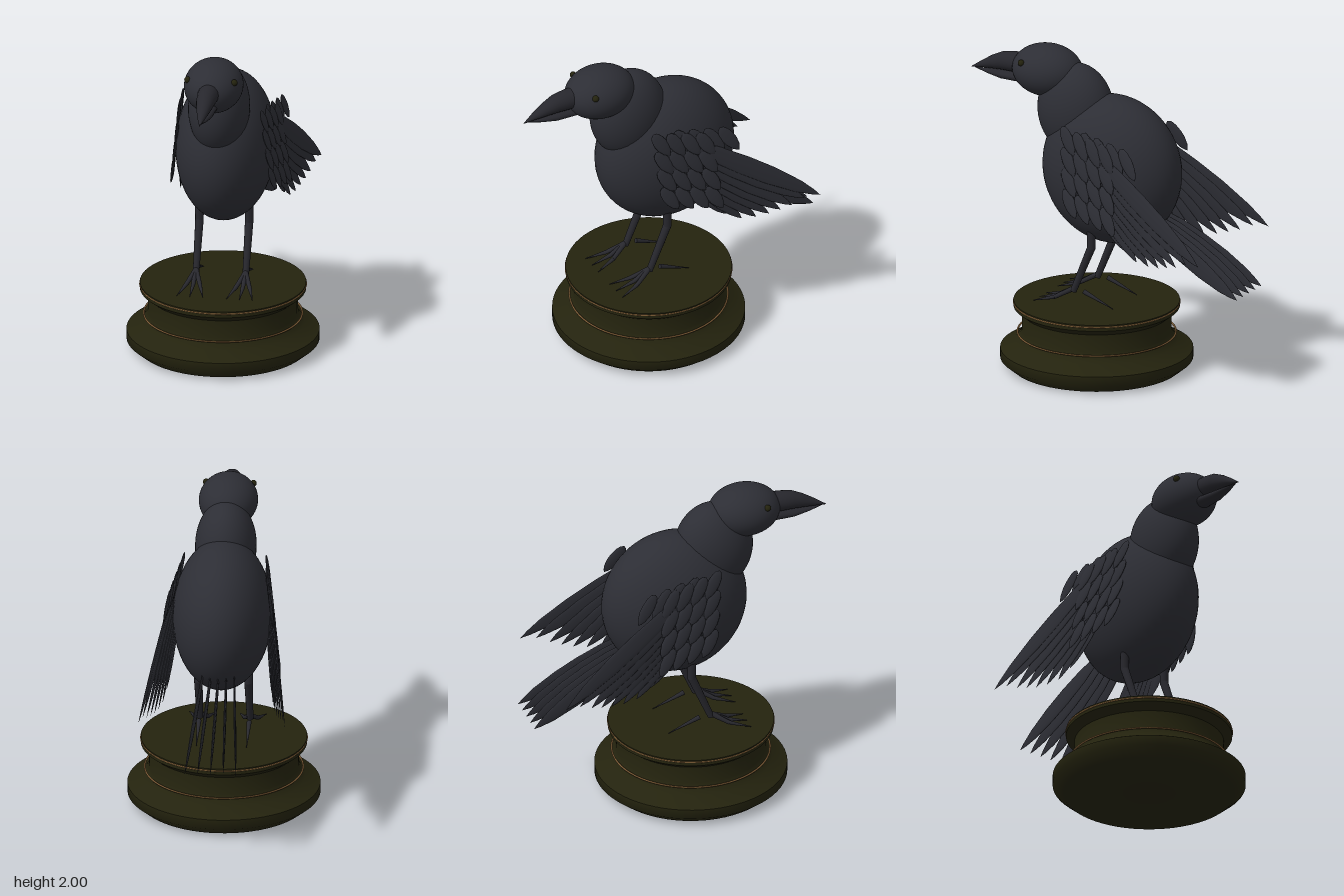
import * as THREE from 'three';
import { toCreasedNormals } from 'three/addons/utils/BufferGeometryUtils.js';

const mat = (name, color) => {
  const m = new THREE.MeshStandardMaterial({ color });
  m.name = name;
  return m;
};
const V = (x, y, z) => new THREE.Vector3(x, y, z);
const lerp = THREE.MathUtils.lerp;

export function createModel() {
  const plumage = mat('charcoal plumage', 0x2d2e35);
  const horn = mat('dark horn', 0x27272d);
  const olive = mat('dark olive', 0x24230e);
  const gold = mat('old gold', 0x7a5a34);

  const model = new THREE.Group();
  model.name = 'birdOnPedestal';
  const add = (name, geo, material, parent = model) => {
    const m = new THREE.Mesh(geo, material);
    m.name = name;
    parent.add(m);
    return m;
  };
  const group = (name) => {
    const g = new THREE.Group();
    g.name = name;
    model.add(g);
    return g;
  };
  const ellipsoid = (name, c, r, material = plumage) => {
    const m = add(name, new THREE.SphereGeometry(1, 48, 32), material);
    m.position.set(...c);
    m.scale.set(...r);
    return m;
  };

  // Pedestal: turned profile with two thin gold rings
  const profile = [[0, 0], [0.52, 0], [0.587, 0.055], [0.587, 0.116], [0.495, 0.165],
    [0.465, 0.205], [0.455, 0.23], [0.455, 0.342], [0.506, 0.382], [0.506, 0.42], [0, 0.42]];
  const base = add('pedestal', toCreasedNormals(new THREE.LatheGeometry(
    profile.map(([r, y]) => new THREE.Vector2(r, y)), 64), 0.9), olive);
  base.position.z = 0.1;
  for (const [r, y] of [[0.482, 0.215], [0.504, 0.407]]) {
    const ring = add('goldRing', new THREE.TorusGeometry(r, 0.006, 8, 64), gold);
    ring.rotation.x = Math.PI / 2;
    ring.position.set(0, y, 0.1);
  }

  // Body, neck, head and eyes
  ellipsoid('body', [0, 1.278, -0.008], [0.302, 0.468, 0.455]);
  ellipsoid('neck', [0, 1.62, 0.245], [0.187, 0.29, 0.245]);
  ellipsoid('head', [0, 1.838, 0.44], [0.18, 0.162, 0.225]);
  for (const s of [1, -1]) ellipsoid('eye', [s * 0.144, 1.905, 0.545], [0.02, 0.02, 0.02], olive);

  // Beak halves: elliptical sections given as [z, top, bottom, half width]
  const loft = (sections, n = 20) => {
    const pos = [], idx = [];
    for (const [z, top, bottom, w] of sections) {
      for (let i = 0; i < n; i++) {
        const a = (i / n) * Math.PI * 2;
        pos.push(Math.cos(a) * w, (top + bottom) / 2 + Math.sin(a) * (top - bottom) / 2, z);
      }
    }
    for (let k = 0; k < sections.length - 1; k++) {
      for (let i = 0; i < n; i++) {
        const a = k * n + i, b = k * n + (i + 1) % n;
        idx.push(a, b, b + n, a, b + n, a + n);
      }
    }
    const g = new THREE.BufferGeometry();
    g.setAttribute('position', new THREE.Float32BufferAttribute(pos, 3));
    g.setIndex(idx);
    g.computeVertexNormals();
    return g;
  };
  add('upperBeak', loft([[0.58, 1.918, 1.79, 0.066], [0.67, 1.916, 1.79, 0.064], [0.75, 1.905, 1.79, 0.056],
    [0.82, 1.872, 1.787, 0.043], [0.89, 1.828, 1.782, 0.026], [0.965, 1.776, 1.772, 0.001]]), horn);
  add('lowerBeak', loft([[0.58, 1.8, 1.732, 0.055], [0.75, 1.786, 1.734, 0.044],
    [0.85, 1.78, 1.752, 0.026], [0.94, 1.776, 1.772, 0.001]]), horn);

  // Feather: flattened pointed leaf running from root to tip, thin along x
  const leaf = new THREE.LatheGeometry([[0, 0], [0.55, 0.06], [0.85, 0.2], [1, 0.42], [0.95, 0.62],
    [0.65, 0.83], [0.3, 0.94], [0, 1]].map(([r, t]) => new THREE.Vector2(r, t)), 12);
  const feather = (name, root, tip, width, thick, parent) => {
    const dir = tip.clone().sub(root);
    const len = dir.length();
    dir.normalize();
    const side = V(1, 0, 0).addScaledVector(dir, -dir.x).normalize();
    const m = add(name, leaf, plumage, parent);
    m.quaternion.setFromRotationMatrix(new THREE.Matrix4().makeBasis(side, dir, side.clone().cross(dir)));
    m.position.copy(root);
    m.scale.set(thick, len, width);
  };

  // Wings: long flight feathers, rows of coverts and a shoulder row
  const wingX = (y, z) => 0.3 + 0.1 * (1.25 - y) - 0.13 * z;
  const tips = [[-0.845, 0.905], [-0.75, 0.9], [-0.67, 0.865], [-0.6, 0.845], [-0.53, 0.828],
    [-0.45, 0.82], [-0.36, 0.828], [-0.27, 0.88]];
  for (const s of [1, -1]) {
    const wing = group(s > 0 ? 'leftWing' : 'rightWing');
    tips.forEach(([z, y], i) => {
      const t = i / (tips.length - 1);
      feather('flightFeather', V(s * lerp(0.29, 0.275, t), lerp(1.47, 1.17, t), -0.02),
        V(s * lerp(0.447, 0.32, t), y, z), lerp(0.062, 0.042, t), 0.007, wing);
    });
    for (let r = 0; r < 4; r++) {
      for (let c = 0; c < 4; c++) {
        const z = 0.205 - 0.095 * c - 0.012 * r, y = 1.585 - 0.02 * c - 0.128 * r;
        const z2 = z - 0.1, y2 = y - 0.165;
        feather('covert', V(s * (wingX(y, z) + 0.008), y, z),
          V(s * (wingX(y2, z2) + 0.014), y2, z2), 0.042, 0.01, wing);
      }
    }
    for (let i = 0; i < 4; i++) {
      const z = 0.06 - 0.095 * i, y = 1.57 - 0.015 * i;
      feather('shoulderFeather', V(s * wingX(y, z), y, z),
        V(s * wingX(y - 0.18, z - 0.12), y - 0.18, z - 0.12), 0.042, 0.01, wing);
    }
  }

  // Tail fan
  const tail = group('tail');
  for (let i = -2; i <= 2; i++) {
    feather('tailFeather', V(i * 0.046, 1.02, -0.28), V(i * 0.078, 0.625, -0.955), 0.062, 0.008, tail);
  }

  // Legs and feet, from tapered rods
  const rod = (name, a, b, ra, rb, parent) => {
    const d = b.clone().sub(a);
    const m = add(name, new THREE.CylinderGeometry(rb, ra, d.length(), 12), horn, parent);
    m.position.copy(a).addScaledVector(d, 0.5);
    m.quaternion.setFromUnitVectors(V(0, 1, 0), d.normalize());
  };
  for (const s of [1, -1]) {
    const leg = group(s > 0 ? 'leftLeg' : 'rightLeg');
    const x = s * 0.153;
    rod('thigh', V(x, 0.95, 0.055), V(x, 0.8, 0.055), 0.028, 0.026, leg);
    const knee = add('knee', new THREE.SphereGeometry(0.026, 16, 12), horn, leg);
    knee.position.set(x, 0.8, 0.055);
    rod('shin', V(x, 0.8, 0.055), V(x, 0.505, 0.178), 0.026, 0.02, leg);
    for (const k of [-1, 0, 1]) {
      const mid = V(x + k * 0.042, 0.462, 0.285);
      rod('toe', V(x, 0.52, 0.18), mid, 0.016, 0.013, leg);
      rod('claw', mid, V(x + k * 0.08, 0.432, 0.41), 0.013, 0.002, leg);
    }
    rod('backToe', V(x, 0.512, 0.106), V(x, 0.432, -0.095), 0.015, 0.002, leg);
  }
  return model;
}
